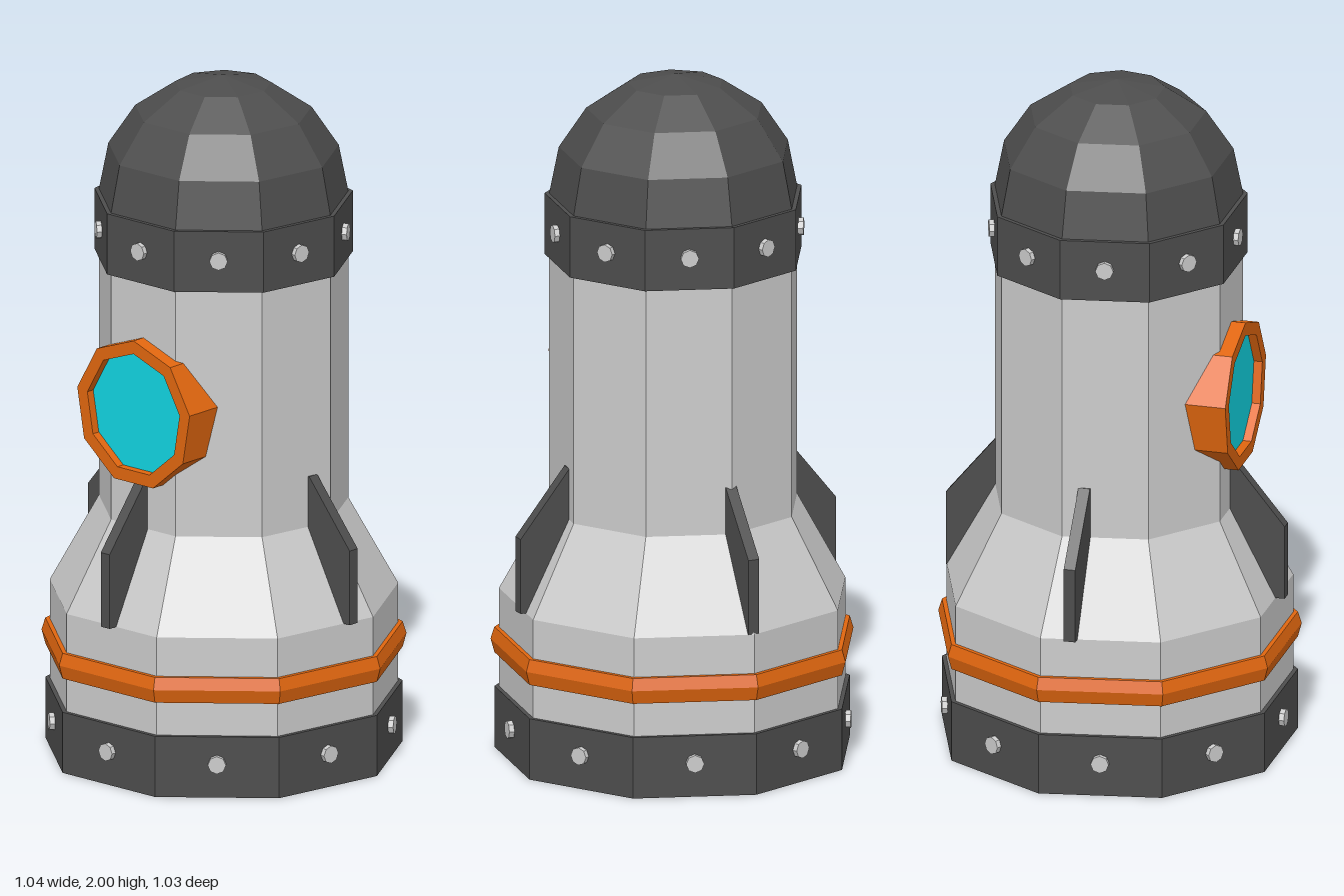
import * as THREE from 'three';

const SIDES = 9;
const mat = (color, extra = {}) => new THREE.MeshStandardMaterial({ color, flatShading: true, ...extra });

export function createModel() {
  const model = new THREE.Group();
  model.name = 'capsuleTower';
  model.position.z = 0.01; // nine-sided plan: flat face in front, corner at the back
  const grey = mat(0xcccccc), dark = mat(0x4d4d4d), orange = mat(0xe0660f), cyan = mat(0x11d5e3);

  const add = (name, geometry, material, parent = model) => {
    const mesh = new THREE.Mesh(geometry, material);
    mesh.name = name;
    parent.add(mesh);
    return mesh;
  };
  // Nine-sided solid of revolution from [radius, height] pairs, listed bottom to top
  const turned = (name, profile, material) => add(name,
    new THREE.LatheGeometry(profile.map(([r, y]) => new THREE.Vector2(r, y)), SIDES, Math.PI), material);

  // Hull
  turned('hull', [[0.503, 0.1], [0.503, 0.47], [0.36, 0.73], [0.36, 1.5]], grey);
  turned('baseRing', [[0, 0], [0.516, 0], [0.516, 0.18], [0.49, 0.18]], dark);
  turned('stripe', [[0.5, 0.28], [0.516, 0.28], [0.527, 0.32], [0.516, 0.355], [0.5, 0.355]], orange);
  turned('capRing', [[0.35, 1.46], [0.373, 1.46], [0.373, 1.64], [0.35, 1.64]], dark);

  // Dome: quarter circle in four steps
  const dome = [];
  for (let i = 0; i <= 4; i++) {
    const a = i * Math.PI / 8;
    dome.push([i === 4 ? 0 : 0.36 * Math.cos(a), 1.64 + 0.36 * Math.sin(a)]);
  }
  turned('dome', dome, dark);

  // One rivet in the middle of each ring face
  const rivetGeo = new THREE.CylinderGeometry(0.026, 0.026, 0.04, 8).rotateX(Math.PI / 2);
  const rivetRow = (name, radius, y) => {
    const row = new THREE.Group();
    row.name = name;
    for (let i = 0; i < SIDES; i++) {
      const a = i * 2 * Math.PI / SIDES;
      const rivet = add('rivet', rivetGeo, grey, row);
      rivet.position.set(radius * Math.sin(a), y, radius * Math.cos(a));
      rivet.rotation.y = a;
    }
    model.add(row);
  };
  rivetRow('baseRivets', 0.48, 0.1);
  rivetRow('capRivets', 0.345, 1.555);

  // Four fins
  const finShape = new THREE.Shape([[0.3, 0.47], [0.5, 0.47], [0.5, 0.69], [0.345, 0.88], [0.3, 0.88]]
    .map(([x, y]) => new THREE.Vector2(x, y)));
  const finGeo = new THREE.ExtrudeGeometry(finShape, { depth: 0.034, bevelEnabled: false }).translate(0, 0, -0.017);
  for (let i = 0; i < 4; i++) add('fin', finGeo, dark).rotation.y = i * Math.PI / 2;

  // Porthole: nine-sided frame with recessed glass
  const polygon = (r) => Array.from({ length: SIDES }, (_, i) => {
    const a = Math.PI / 2 + i * 2 * Math.PI / SIDES;
    return new THREE.Vector2(r * Math.cos(a), r * Math.sin(a));
  });
  const porthole = new THREE.Group();
  porthole.name = 'porthole';
  porthole.position.set(0, 1.077, 0);
  model.add(porthole);
  const frameShape = new THREE.Shape(polygon(0.218));
  frameShape.holes.push(new THREE.Path(polygon(0.179)));
  add('portholeFrame', new THREE.ExtrudeGeometry(frameShape, { depth: 0.16, bevelEnabled: false }), orange, porthole)
    .position.z = 0.22;
  add('portholeGlass', new THREE.ShapeGeometry(new THREE.Shape(polygon(0.182))), cyan, porthole)
    .position.z = 0.355;

  const root = new THREE.Group();
  root.add(model);
  return root;
}
